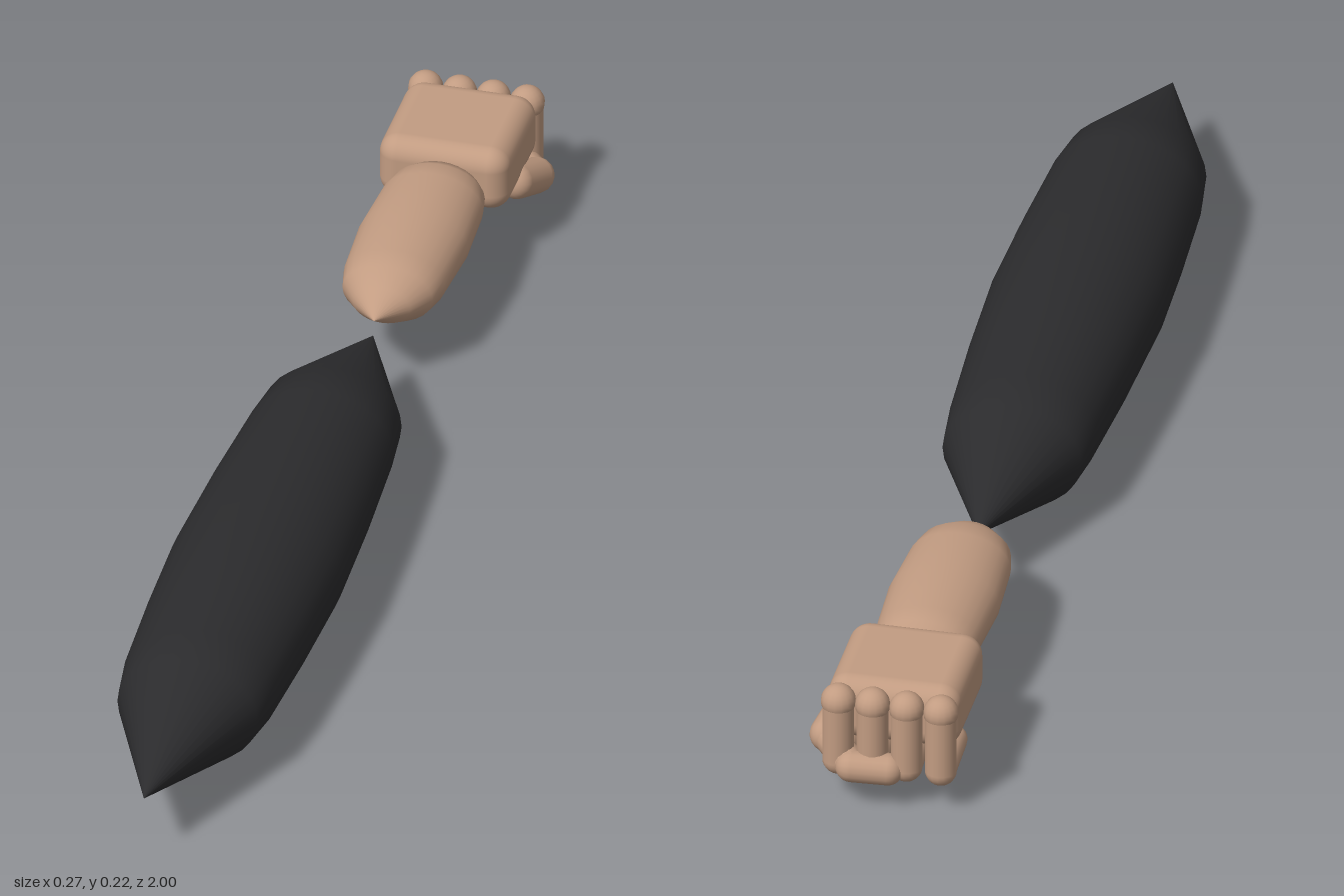
import * as THREE from 'three';
import { RoundedBoxGeometry } from 'three/addons/geometries/RoundedBoxGeometry.js';

export function createModel() {
  const group = new THREE.Group();
  const skin = new THREE.MeshStandardMaterial({ color: 0xc29c82 });
  skin.name = 'skin';
  const cloth = new THREE.MeshStandardMaterial({ color: 0x2b2b2d });
  cloth.name = 'dark cloth';

  function add(name, geometry, material, parent = group) {
    const mesh = new THREE.Mesh(geometry, material);
    mesh.name = name;
    parent.add(mesh);
    return mesh;
  }

  // Elliptical limb along z; profile is [radius, z] with z rising
  function limb(name, profile, y, flatten, material) {
    const points = profile.map(([r, z]) => new THREE.Vector2(r, z));
    const geometry = new THREE.LatheGeometry(points, 28);
    geometry.rotateX(Math.PI / 2).scale(1, flatten, 1).translate(0, y, 0);
    return add(name, geometry, material);
  }

  // Round-ended segment between two points
  function segment(name, a, b, radius, parent) {
    const from = new THREE.Vector3(...a);
    const to = new THREE.Vector3(...b);
    const dir = to.clone().sub(from);
    const mesh = add(name, new THREE.CapsuleGeometry(radius, dir.length(), 8, 16), skin, parent);
    mesh.position.copy(from).add(to).multiplyScalar(0.5);
    mesh.quaternion.setFromUnitVectors(new THREE.Vector3(0, 1, 0), dir.normalize());
  }

  // Upper arm sleeve, pointed at both ends
  limb('sleeve', [
    [0, -0.345], [0.108, -0.11], [0.117, -0.03], [0.128, 0.15], [0.135, 0.34],
    [0.13, 0.5], [0.121, 0.67], [0.11, 0.745], [0, 1],
  ], 0.114, 0.83, cloth);

  // Bare forearm, tapering to the elbow
  limb('forearm', [
    [0, -0.762], [0.055, -0.755], [0.074, -0.725], [0.081, -0.69], [0.087, -0.58],
    [0.08, -0.47], [0.071, -0.43], [0.045, -0.395], [0, -0.35],
  ], 0.137, 0.69, skin);

  // Closed fist
  const hand = new THREE.Group();
  hand.name = 'hand';
  group.add(hand);
  const palm = add('palm', new RoundedBoxGeometry(0.206, 0.106, 0.2, 5, 0.032), skin, hand);
  palm.position.set(-0.001, 0.147, -0.845);

  // Four fingers folded down over the front of the palm and back beneath it
  for (let i = 0; i < 4; i++) {
    const x = -0.08 + i * 0.0533;
    const finger = new THREE.Group();
    finger.name = 'finger' + (i + 1);
    hand.add(finger);
    const knuckle = add('knuckle', new THREE.SphereGeometry(0.027, 16, 12), skin, finger);
    knuckle.position.set(x, 0.172, -0.952);
    segment('fingerFront', [x, 0.165, -0.953], [x, 0.07, -0.953], 0.0245, finger);
    segment('fingerTip', [x, 0.07, -0.95], [x, 0.078, -0.875], 0.0235, finger);
  }

  // Thumb wrapping across the fingers
  const thumb = new THREE.Group();
  thumb.name = 'thumb';
  hand.add(thumb);
  segment('thumbBase', [0.092, 0.098, -0.845], [0.108, 0.077, -0.9], 0.028, thumb);
  segment('thumbTip', [0.1, 0.074, -0.91], [0.055, 0.07, -0.97], 0.025, thumb);
  segment('thumbEnd', [0.055, 0.07, -0.972], [0, 0.068, -0.966], 0.025, thumb);

  return group;
}
